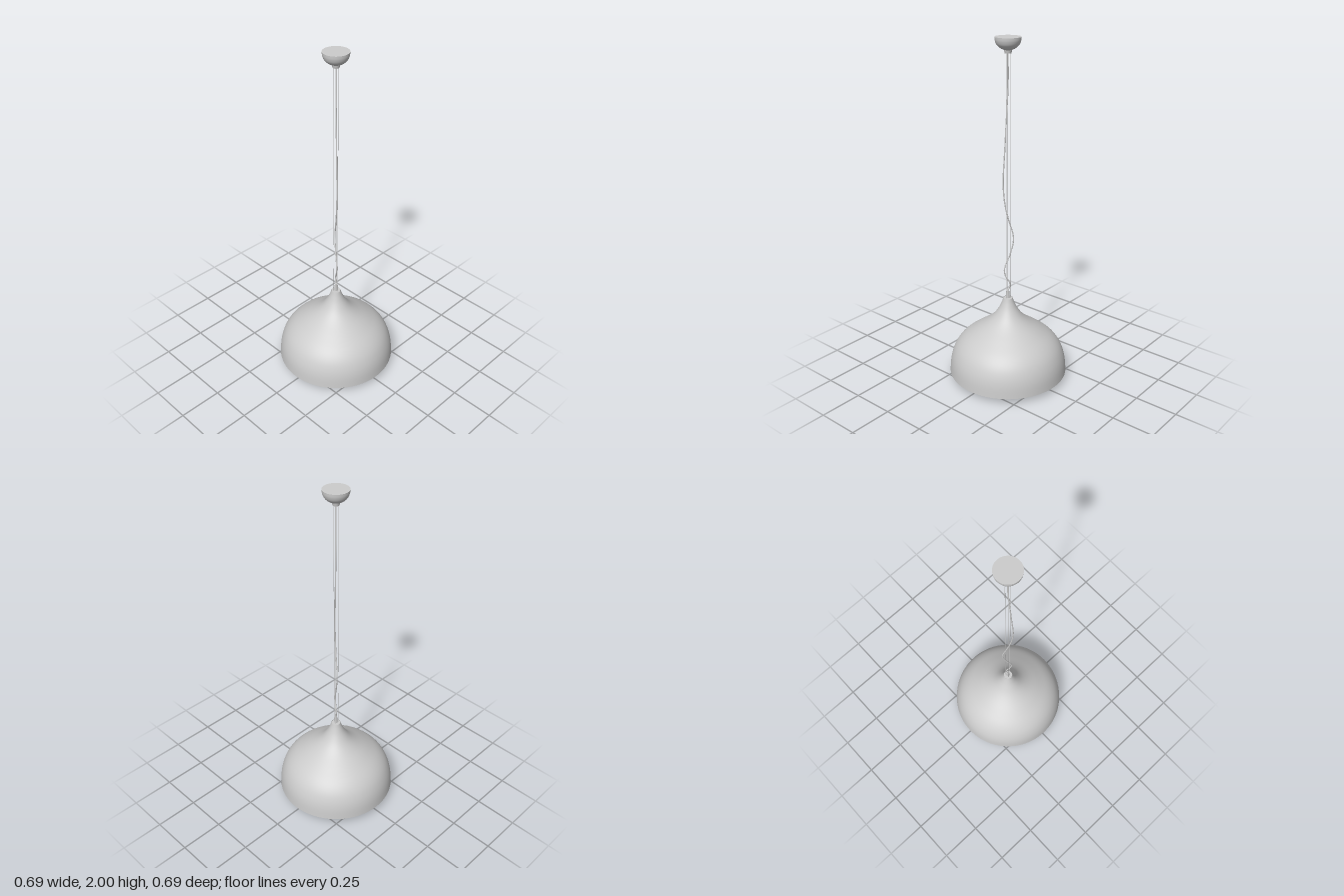
import * as THREE from 'three';

const material = new THREE.MeshStandardMaterial({ color: 0xcccccc, side: THREE.DoubleSide });

const add = (group, name, geometry, y = 0) => {
  const mesh = new THREE.Mesh(geometry, material);
  mesh.name = name;
  mesh.position.y = y;
  group.add(mesh);
  return mesh;
};

// Smooth turned surface through a few [radius, height] points, listed upwards
const turned = (points) => {
  const curve = new THREE.SplineCurve(points.map(([r, y]) => new THREE.Vector2(r, y)));
  return new THREE.LatheGeometry(curve.getPoints(48), 96);
};

const cylinder = (rTop, rBottom, height, sides = 32) =>
  new THREE.CylinderGeometry(rTop, rBottom, height, sides);

// Flat ring facing down, closing the edge of a shade
const rim = (inner, outer) => new THREE.RingGeometry(inner, outer, 96).rotateX(Math.PI / 2);

export function createModel() {
  const lamp = new THREE.Group();
  lamp.name = 'pendantLamp';

  // Bell-shaped outer shade with its closed neck
  add(lamp, 'outerShade', turned([
    [0.347, 0.033], [0.341, 0.1], [0.327, 0.155], [0.302, 0.205], [0.262, 0.25],
    [0.2, 0.297], [0.132, 0.345], [0.088, 0.385], [0.056, 0.43], [0.037, 0.47], [0.027, 0.5],
  ]));
  add(lamp, 'outerShadeRim', rim(0.343, 0.347), 0.033);
  add(lamp, 'neckCap', cylinder(0.026, 0.026, 0.006), 0.496);
  add(lamp, 'cableGland', cylinder(0.007, 0.009, 0.05, 20), 0.523);

  // Smaller inner shade, repeating the bell shape
  add(lamp, 'innerShade', turned([
    [0.184, 0.006], [0.182, 0.04], [0.174, 0.08], [0.157, 0.113], [0.128, 0.142],
    [0.095, 0.167], [0.066, 0.19], [0.045, 0.215], [0.036, 0.25],
  ]));
  add(lamp, 'innerShadeLip', cylinder(0.187, 0.187, 0.006, 96).clone(), 0.003).geometry =
    new THREE.LatheGeometry([[0.18, 0.003], [0.18, -0.003], [0.187, -0.003], [0.187, 0.003], [0.18, 0.003]]
      .map(([r, y]) => new THREE.Vector2(r, y)), 96);

  // Socket, stem and bulb
  add(lamp, 'stem', cylinder(0.015, 0.015, 0.25), 0.37);
  add(lamp, 'socket', cylinder(0.036, 0.024, 0.09), 0.21);
  add(lamp, 'bulb', turned([
    [0, 0.07], [0.018, 0.076], [0.033, 0.092], [0.037, 0.11], [0.031, 0.132], [0.021, 0.155], [0.018, 0.18],
  ]));

  // Three straight suspension wires
  for (let i = 0; i < 3; i++) {
    const a = (i * Math.PI * 2) / 3;
    const wire = add(lamp, 'suspensionWire', cylinder(0.0013, 0.0013, 1.43, 8), 1.21);
    wire.position.x = 0.015 * Math.cos(a);
    wire.position.z = 0.015 * Math.sin(a);
  }

  // Slack power cable, waving in one slanted plane
  const path = new THREE.CatmullRomCurve3([
    [0, 1.92], [0, 1.75], [0.006, 1.6], [0.015, 1.4], [0.023, 1.2], [0.015, 1.08], [-0.004, 0.98],
    [-0.027, 0.87], [-0.012, 0.78], [0.018, 0.68], [0.012, 0.64], [-0.01, 0.585], [0, 0.54], [0, 0.5],
  ].map(([x, y]) => new THREE.Vector3(x, y, x * 0.68)));
  add(lamp, 'powerCable', new THREE.TubeGeometry(path, 160, 0.0035, 10));

  // Ceiling canopy: bowl, flat top and collar
  add(lamp, 'canopy', turned([
    [0.02, 1.932], [0.042, 1.942], [0.06, 1.959], [0.069, 1.98], [0.071, 2],
  ]));
  add(lamp, 'canopyTop', new THREE.CircleGeometry(0.071, 96).rotateX(-Math.PI / 2), 2);
  add(lamp, 'canopyCollar', cylinder(0.022, 0.018, 0.018), 1.924);

  return lamp;
}
